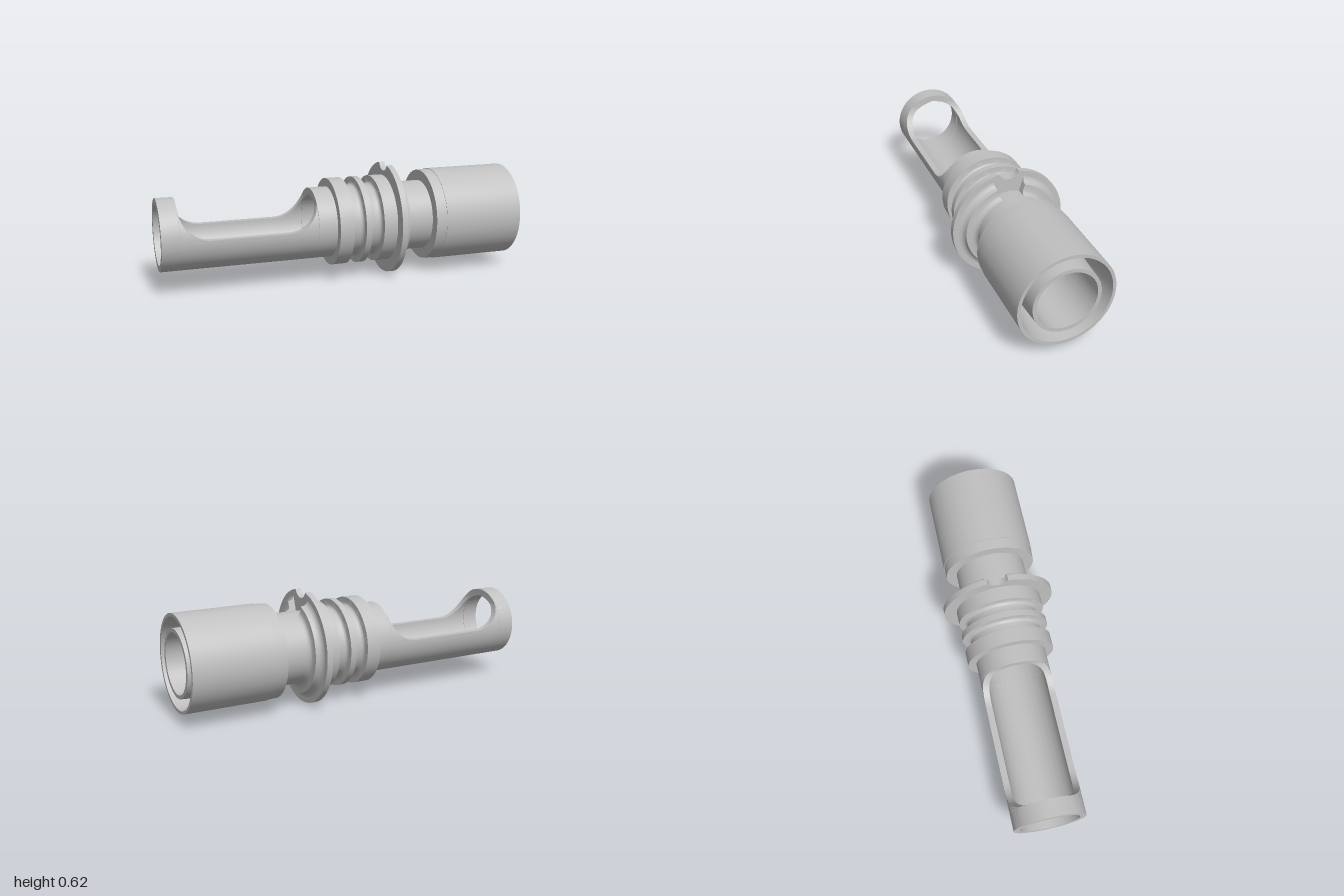
import * as THREE from 'three';
import { toCreasedNormals } from 'three/addons/utils/BufferGeometryUtils.js';

const AXIS = 0.312; // height of the long axis
const R = 0.195, BORE = 0.161; // tube radii
const V = (x, r) => new THREE.Vector2(r, x);

// Revolve a list of [x, radius] points around the x axis
function turned(points, start = 0, length = Math.PI * 2) {
  const g = new THREE.LatheGeometry(points.map(([x, r]) => V(x, r)), 96, start, length);
  g.rotateZ(-Math.PI / 2);
  return toCreasedNormals(g, 0.5);
}

// Tube whose upper half is cut away between two rounded ends
function windowTube() {
  const x0 = -0.905, x1 = -0.165, n = 96, steps = 12;
  const left = [];
  for (const h of [0.195, 0.19, 0.182, 0.172]) left.push([x0, h]);
  for (let i = 0; i <= steps; i++) {
    const a = (i / steps) * Math.PI / 2;
    left.push([x0 + BORE * (1 - Math.cos(a)), BORE * (1 - Math.sin(a))]);
  }
  const right = left.map(([x, h]) => [x0 + x1 - x, h]).reverse();
  // stations: [x, cut height, outer radius]
  const stations = [[-1, 1, BORE], [-1, 1, R], ...left.map(s => [...s, R]), ...right.map(s => [...s, R])];
  const pos = [], idx = [], row = 2 * (n + 1);
  for (const [x, h, outer] of stations) {
    const ring = (r, dir) => {
      const m = Math.PI - Math.acos(Math.min(1, h / r));
      for (let j = 0; j <= n; j++) {
        const t = dir * m * (2 * j / n - 1);
        pos.push(x, -r * Math.cos(t), r * Math.sin(t));
      }
    };
    ring(outer, 1);
    ring(BORE, -1);
  }
  for (let i = 0; i < stations.length - 1; i++) {
    for (let j = 0; j < row; j++) {
      const a = i * row + j, d = i * row + (j + 1) % row;
      idx.push(a, a + row, d + row, a, d + row, d);
    }
  }
  const g = new THREE.BufferGeometry();
  g.setAttribute('position', new THREE.Float32BufferAttribute(pos, 3));
  g.setIndex(idx);
  return toCreasedNormals(g, 0.5);
}

// Thin round flange with a scooped notch at the top
function notchedFlange() {
  const s = new THREE.Shape(), a = 0.184, up = Math.PI / 2;
  s.absarc(0, 0, 0.311, up + a, up - a + Math.PI * 2, false);
  s.absarc(0, 0.33, 0.0624, -0.4, -Math.PI + 0.4, true);
  s.closePath();
  const hole = new THREE.Path();
  hole.absarc(0, 0, 0.19, 0, Math.PI * 2, true);
  s.holes.push(hole);
  const g = new THREE.ExtrudeGeometry(s, { depth: 0.032, bevelEnabled: false, curveSegments: 96 });
  g.rotateY(Math.PI / 2).translate(0.264, 0, 0);
  return toCreasedNormals(g, 0.5);
}

// Groove between two rings, with rounded bottom corners
function groove(x0, x1) {
  const f = 0.018, pts = [];
  for (let i = 0; i <= 5; i++) {
    const a = (i / 5) * Math.PI / 2;
    pts.push([x0 + f * (1 - Math.cos(a)), R + f * (1 - Math.sin(a))]);
  }
  return [...pts, ...pts.map(([x, r]) => [x0 + x1 - x, r]).reverse()];
}

export function createModel() {
  const grey = new THREE.MeshStandardMaterial({ color: 0xc0c0c0, side: THREE.DoubleSide });
  grey.name = 'grey';
  const model = new THREE.Group();
  model.name = 'connector';
  const body = new THREE.Group();
  body.name = 'connectorBody';
  body.position.y = AXIS;
  model.add(body);
  const add = (name, geometry) => {
    const m = new THREE.Mesh(geometry, grey);
    m.name = name;
    body.add(m);
    return m;
  };

  add('windowTube', windowTube());

  // Ringed middle, neck, end sleeve with inner nozzle, and bore
  const ring = 0.241;
  add('ringedBody', turned([
    [-0.165, R], [-0.063, R], [-0.063, ring], [0.017, ring],
    ...groove(0.017, 0.084),
    [0.084, ring], [0.118, ring],
    ...groove(0.118, 0.187),
    [0.187, ring], [0.27, ring], [0.27, R],
    [0.49, R], [0.49, 0.254], [0.55, 0.256], [0.55, 0.259], [1, 0.259],
    [1, 0.242], [0.7, 0.219], [0.7, 0.195], [1, 0.181], [1, BORE], [-0.165, BORE],
  ]));

  add('notchedFlange', notchedFlange());

  // Collar behind the flange, open under the notch
  const collar = [
    [0.29, 0.28], [0.296, 0.28], [0.299, 0.268], [0.305, 0.26], [0.315, 0.254], [0.333, 0.25],
    [0.333, 0.215], [0.337, 0.206], [0.345, 0.199], [0.36, 0.194], [0.29, 0.19],
  ];
  const gap = 0.31;
  add('collar', turned(collar, Math.PI * 1.5 + gap, Math.PI * 2 - 2 * gap));
  for (const side of [-1, 1]) {
    const wall = new THREE.ShapeGeometry(new THREE.Shape(collar.map(([x, r]) => new THREE.Vector2(x, r))));
    wall.rotateX(side * gap);
    add(side > 0 ? 'collarEndFront' : 'collarEndBack', wall);
  }

  return model;
}
